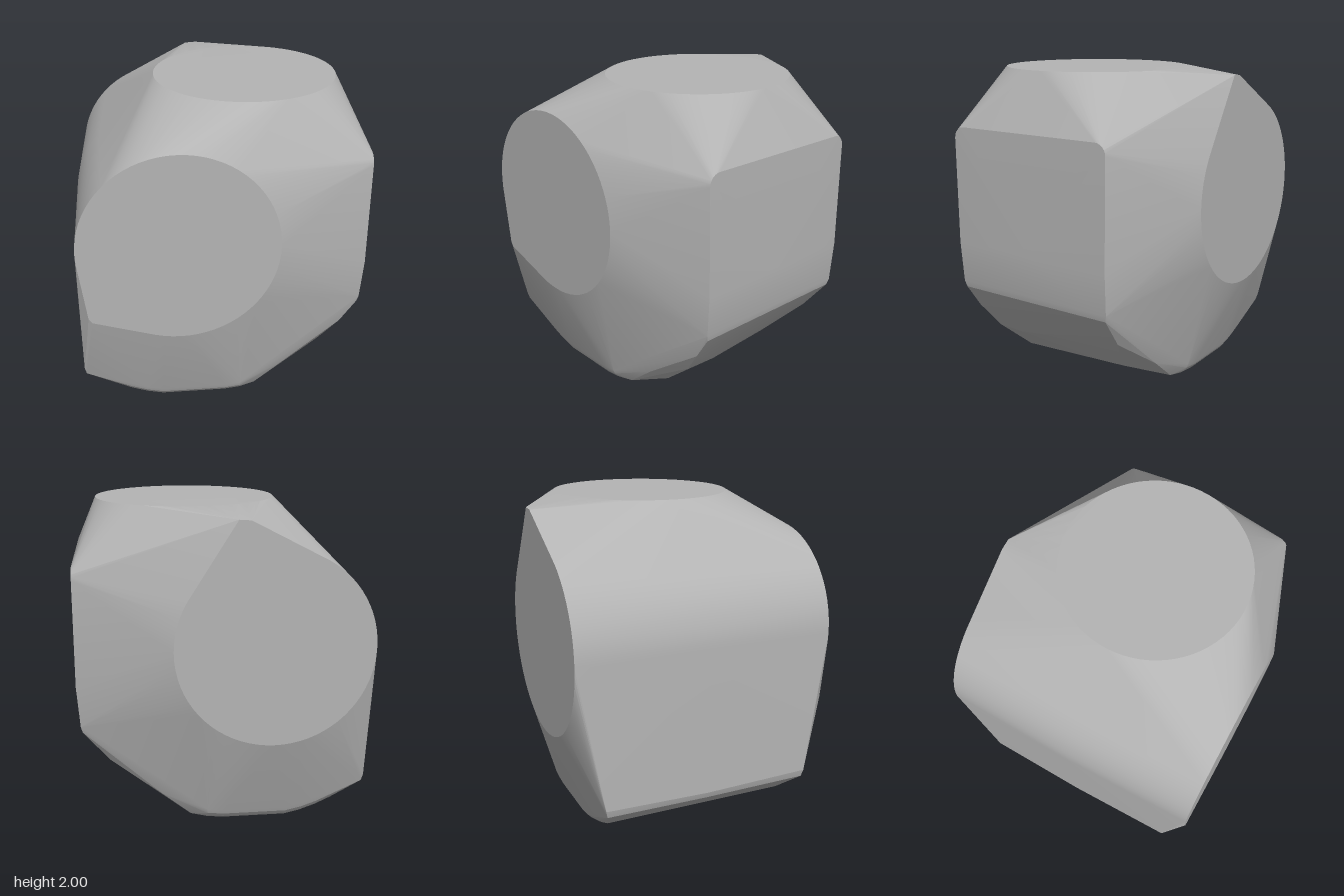
import * as THREE from 'three';
import { ConvexGeometry } from 'three/addons/geometries/ConvexGeometry.js';
import { toCreasedNormals } from 'three/addons/utils/BufferGeometryUtils.js';

const V = (x, y, z) => new THREE.Vector3(x, y, z);

// Points on an arc, placed in space by a mapping of the flat (a, b) coordinates
function arc(ca, cb, radius, from, to, steps, place) {
  return Array.from({ length: steps + 1 }, (_, i) => {
    const t = from + (to - from) * i / steps;
    return place(ca + radius * Math.cos(t), cb + radius * Math.sin(t));
  });
}

export function createModel() {
  const group = new THREE.Group();
  const grey = new THREE.MeshStandardMaterial({ color: 0xb4b4b4 });
  grey.name = 'stone grey';

  const full = Math.PI * 2 * 71 / 72;
  const points = [
    // flat round faces on the top, front and back
    ...arc(0.18, 0.018, 0.563, 0, full, 71, (a, b) => V(a, 2, b)),
    ...arc(-0.285, 1.205, 0.595, 0, full, 71, (a, b) => V(a, b, 0.82)),
    ...arc(-0.285, 1.205, 0.595, 0, full, 71, (a, b) => V(a, b, -0.82)),
    // slight swell in the middle of the rounded shoulder
    ...arc(-0.285, 1.205, 0.612, Math.PI * 0.7, Math.PI, 14, (a, b) => V(a, b, 0)),
    V(-0.9, 0.3, 0), V(-0.885, 0.262, 0),
    // corners that stretch the front and back discs
    V(-0.83, 0.77, 0.82), V(-0.81, 0.74, 0.82),
    V(-0.06, 1.96, -0.82), V(-0.13, 1.955, -0.82),
    // swell of the left side
    V(0.895, 0.93, 0.02),
    // lower facets of the left side
    V(0.645, 0.3, 0.3), V(0.76, 0.47, 0.55), V(0.63, 0.3, 0.5),
    V(0.46, 0.2, -0.31), V(0.45, 0.16, -0.37), V(0.7, 0.42, -0.5),
    V(0.385, 0.09, 0.45), V(0.2, 0.03, 0.45), V(0.2, 0.04, -0.4),
  ];

  // Mirrored rims; the back edge lies slightly closer to the middle
  for (const [s, edge] of [[1, 0.58], [-1, 0.545]]) {
    // upright edge of the left side with a rounded top corner
    points.push(
      ...arc(edge - 0.07, 1.58, 0.07, 0, Math.PI / 2, 6, (a, b) => V(0.885, b, s * a)),
      V(0.888, 0.92, s * (edge - 0.005)), V(0.86, 0.62, s * (edge - 0.02)),
      V(0.87, 0.66, s * (edge - 0.01)));
    // lower corner of the right side
    points.push(V(-0.89, 0.31, s * (edge + 0.11)), V(-0.88, 0.265, s * (edge + 0.1)),
      V(-0.86, 0.245, s * (edge + 0.07)), V(-0.7, 0.12, s * (edge + 0.03)));
    // rounded rim of the underside
    for (const [x, lift] of [[-0.6, 0.06], [-0.5, 0.025], [-0.4, 0.003], [0, 0.003], [0.1, 0.015]])
      points.push(...arc(edge - 0.03, 0.13, 0.13, -Math.PI / 2, 0, 6, (a, b) => V(x, b + lift, s * a)));
    points.push(V(0.2, 0.05, s * (edge + 0.02)), V(0.38, 0.2, s * (edge + 0.02)));
  }
  // level base
  for (const x of [-0.38, -0.02]) for (const z of [-0.5, 0.53]) points.push(V(x, 0, z));

  // One convex skin, smooth over the curves and crisp round the flat faces
  const body = new THREE.Mesh(toCreasedNormals(new ConvexGeometry(points), 0.2), grey);
  body.name = 'facetedBody';
  group.add(body);
  return group;
}
